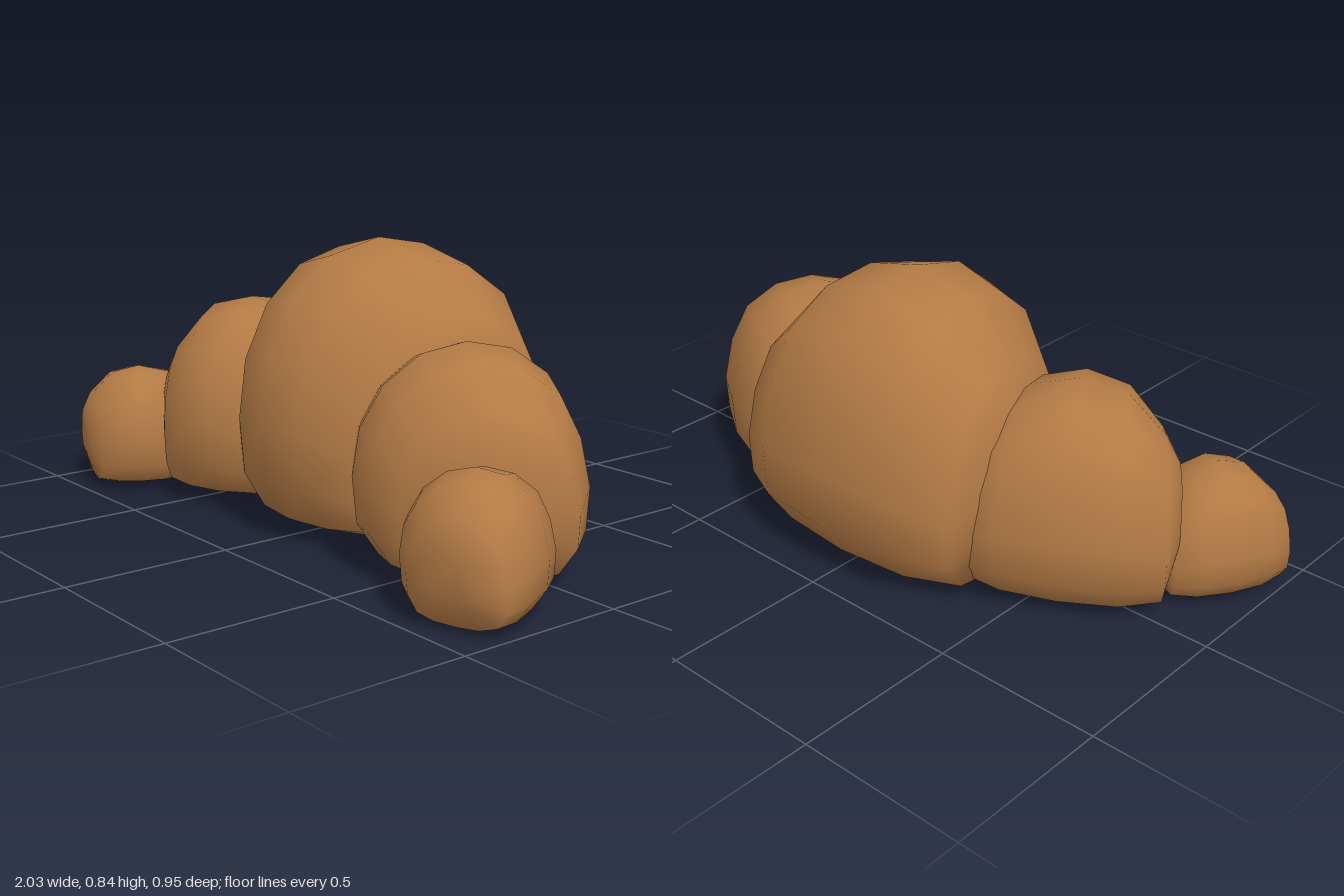
import * as THREE from 'three';

// Outline of a lobe at its fullest, as [z, y], running top -> front -> bottom -> back
const OUTLINE = [
  [-0.05, 0.84], [0.12, 0.8], [0.26, 0.69], [0.35, 0.53], [0.378, 0.35], [0.36, 0.17], [0.28, 0.05],
  [0.14, 0.008], [-0.06, 0], [-0.24, 0.01], [-0.385, 0.055], [-0.47, 0.18], [-0.48, 0.35],
  [-0.44, 0.545], [-0.36, 0.71], [-0.22, 0.81],
];
const Z_FRONT = 0.378, Z_BACK = -0.48, Z_MID = -0.055;

// Cross-sections from the middle outwards: x at the front, x at the back, size, height of scaling centre
const SECTIONS = [
  [0, 0, 1, 0.08],
  [0.14, 0.24, 0.94, 0.08],
  [0.27, 0.4, 0.74, 0.08],
  [0.36, 0.43, 0.4, 0.33],
];

// Wedge-shaped dough lobe, wider at the back, closed by rounded ends
function lobeGeometry() {
  const positions = [], index = [];
  const n = OUTLINE.length;
  const last = SECTIONS.length - 1;
  for (let s = -last; s <= last; s++) {
    const [xFront, xBack, size, pivot] = SECTIONS[Math.abs(s)];
    for (const [z, y] of OUTLINE) {
      const f = (Z_FRONT - z) / (Z_FRONT - Z_BACK);
      const x = Math.sign(s) * THREE.MathUtils.lerp(xFront, xBack, f);
      positions.push(x, pivot + (y - pivot) * size, Z_MID + (z - Z_MID) * size);
    }
  }
  const rings = 2 * last + 1;
  for (let i = 0; i < rings - 1; i++) {
    for (let j = 0; j < n; j++) {
      const k = (j + 1) % n;
      const a = i * n + j, b = (i + 1) * n + j, c = i * n + k, d = (i + 1) * n + k;
      index.push(a, c, b, b, c, d);
    }
  }
  // End caps
  const left = rings * n, right = left + 1;
  positions.push(-0.405, 0.37, Z_MID, 0.405, 0.37, Z_MID);
  for (let j = 0; j < n; j++) {
    const k = (j + 1) % n, o = (rings - 1) * n;
    index.push(left, k, j, right, o + j, o + k);
  }
  const geometry = new THREE.BufferGeometry();
  geometry.setAttribute('position', new THREE.Float32BufferAttribute(positions, 3));
  geometry.setIndex(index);
  geometry.computeVertexNormals();
  return geometry;
}

export function createModel() {
  const model = new THREE.Group();
  model.name = 'croissant';
  const crust = new THREE.MeshStandardMaterial({ color: 0xb37a45 });
  crust.name = 'bakedCrust';
  const geometry = lobeGeometry();

  function addLobe(name, size, x, z, degrees) {
    const lobe = new THREE.Mesh(geometry, crust);
    lobe.name = name;
    lobe.scale.setScalar(size);
    lobe.position.set(x, size < 1 ? 0.007 : 0, z);
    lobe.rotation.y = THREE.MathUtils.degToRad(degrees);
    model.add(lobe);
  }

  addLobe('centerLobe', 1, 0, 0, 0);
  // Smaller lobes curve forward on both sides
  for (const [side, sign] of [['left', 1], ['right', -1]]) {
    addLobe(side + 'MiddleLobe', 0.725, sign * 0.484, 0.086, sign * -28);
    addLobe(side + 'TipLobe', 0.44, sign * 0.787, 0.306, sign * -60);
  }
  return model;
}
